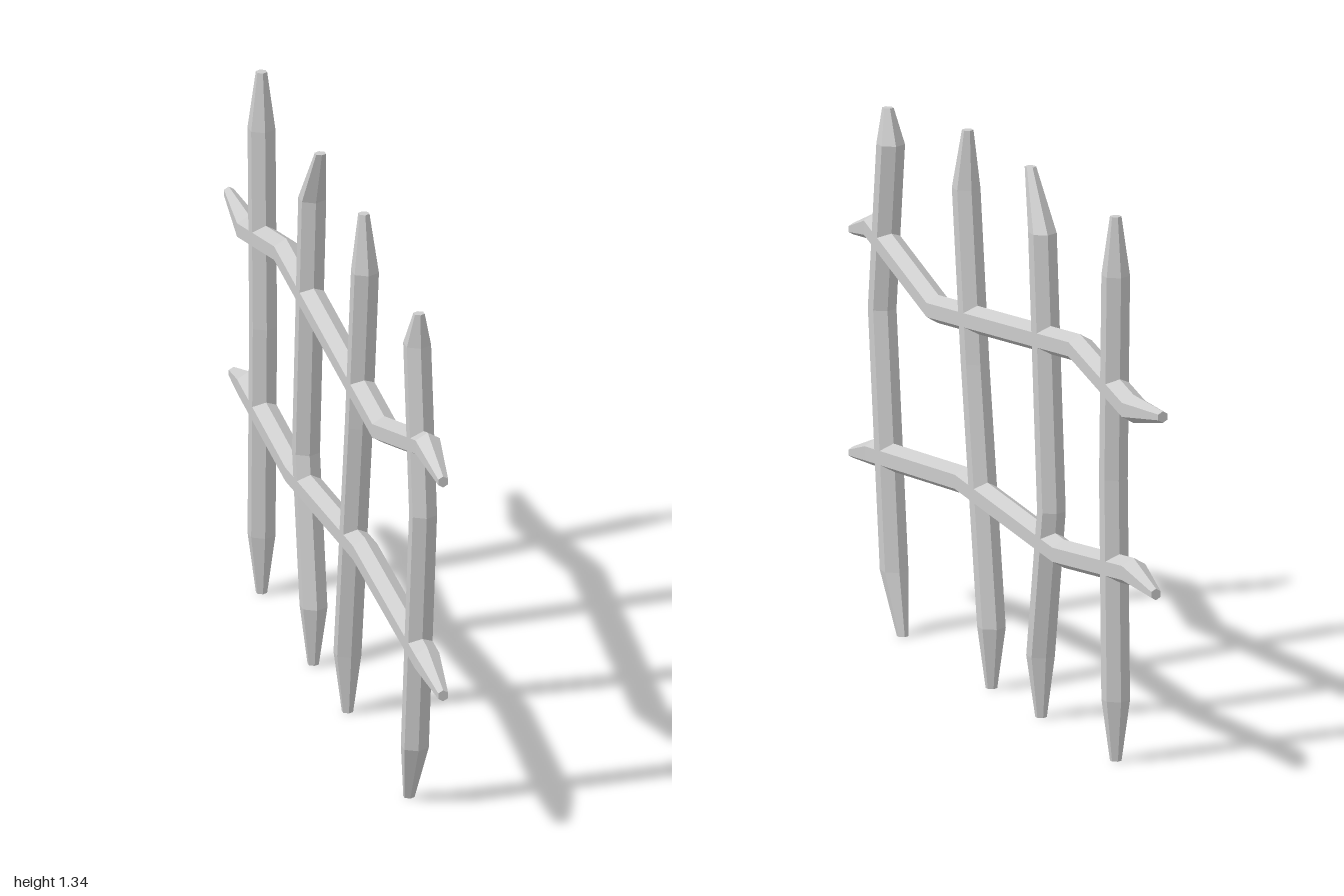
import * as THREE from 'three';

const RADIUS = 0.0346, TIP = 0.014;

// Six-sided bar running down the y axis, bent sideways in z.
// path: [along, across] pairs, highest "along" first; the two ends taper.
function barGeometry(path) {
  const last = path.length - 1;
  const geometry = new THREE.CylinderGeometry(1, 1, 1, 6, last);
  const p = geometry.attributes.position;
  for (let i = 0; i < p.count; i++) {
    const ring = Math.round((0.5 - p.getY(i)) * last);
    const [along, across] = path[ring];
    const r = ring === 0 || ring === last ? TIP : RADIUS;
    p.setXYZ(i, p.getX(i) * r, along, across + p.getZ(i) * r);
  }
  geometry.computeVertexNormals();
  return geometry;
}

export function createModel() {
  const group = new THREE.Group();
  const material = new THREE.MeshStandardMaterial({ color: 0xcccccc, flatShading: true });

  const add = (name, geometry) => {
    const mesh = new THREE.Mesh(geometry, material);
    mesh.name = name;
    group.add(mesh);
  };

  // Upright bars: [y, z] from top to bottom
  const uprights = [
    [[1.275, 0.775], [1.19, 0.757], [0.775, 0.812], [0.15, 0.735], [0, 0.68]],
    [[1.335, 0.26], [1.19, 0.27], [0.775, 0.213], [0.15, 0.107], [0, 0.107]],
    [[1.335, -0.145], [1.19, -0.222], [0.52, -0.28], [0.15, -0.21], [0, -0.213]],
    [[1.335, -0.695], [1.19, -0.695], [0.69, -0.68], [0.15, -0.695], [0, -0.695]],
  ];
  uprights.forEach((path, i) => add(`uprightBar${i + 1}`, barGeometry(path)));

  // Cross bars: [z, y] from front to back
  const crossBars = {
    upperCrossBar: [[1, 0.928], [0.855, 0.965], [0.45, 0.853], [-0.465, 0.96], [-0.81, 0.888], [-1, 0.91]],
    lowerCrossBar: [[1, 0.38], [0.85, 0.413], [0.27, 0.472], [-0.36, 0.433], [-0.81, 0.488], [-0.955, 0.465]],
  };
  for (const [name, path] of Object.entries(crossBars)) {
    // The turn maps y to z and z to -y
    add(name, barGeometry(path.map(([z, y]) => [z, -y])).rotateX(Math.PI / 2));
  }

  return group;
}
